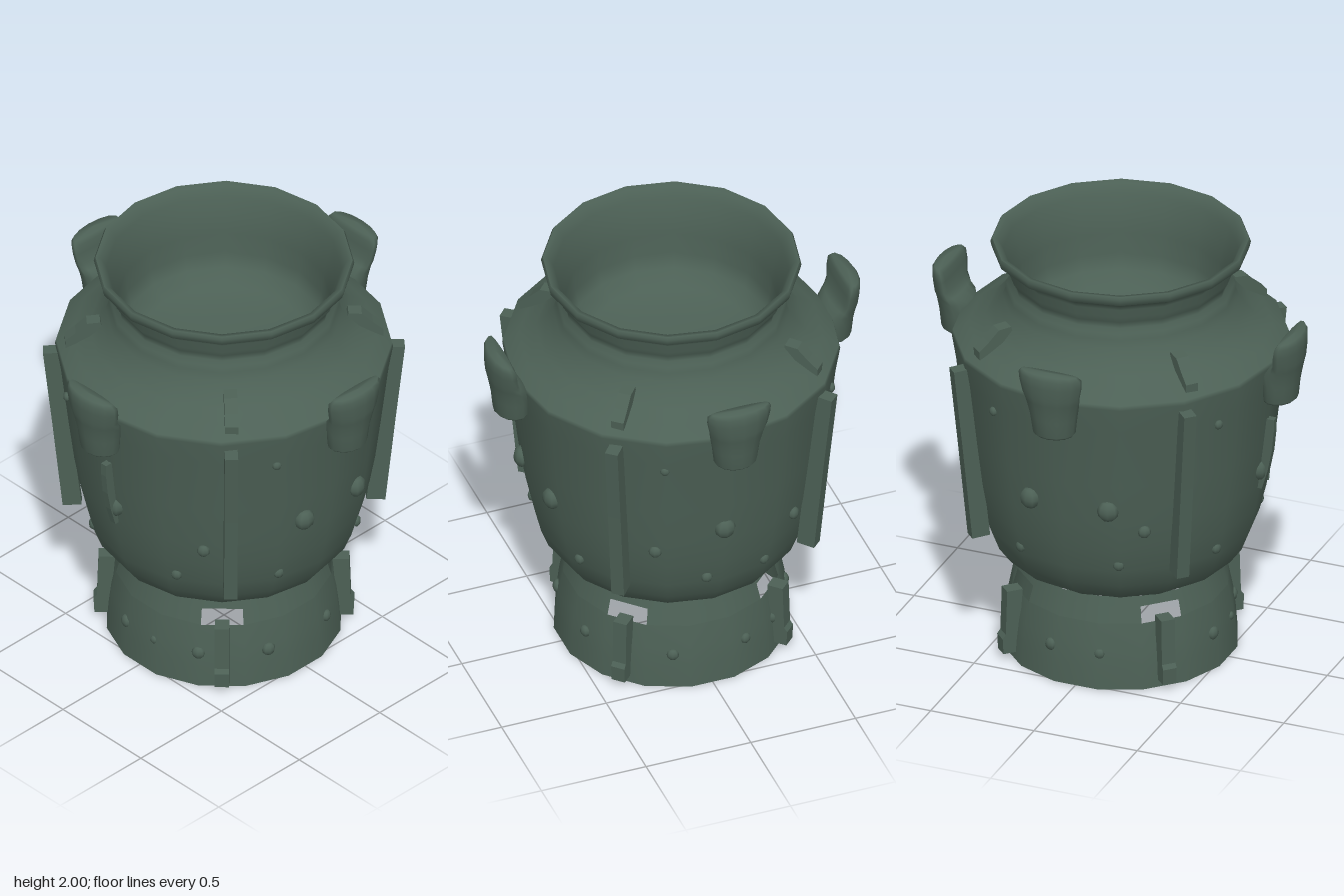
import * as THREE from 'three';

const bronze = new THREE.MeshStandardMaterial({ color: 0x4c6055, side: THREE.DoubleSide });
bronze.name = 'darkGreenBronze';
const RAD = Math.PI / 180;
const toPoints = (list) => list.map(([x, y]) => new THREE.Vector2(x, y));

// Outer wall from the underside up to the shoulder edge, as [radius, height]
const WALL = [[0, 0.42], [0.38, 0.41], [0.45, 0.425], [0.53, 0.475], [0.585, 0.55], [0.62, 0.64],
  [0.65, 0.76], [0.675, 0.9], [0.7, 1.1], [0.735, 1.4], [0.755, 1.52], [0.75, 1.54]];
// Shoulder, ribbed neck and flared rim
const NECK = [[0.68, 1.575], [0.605, 1.62], [0.56, 1.67], [0.53, 1.715], [0.515, 1.75], [0.51, 1.78],
  [0.49, 1.8], [0.493, 1.83], [0.515, 1.865], [0.51, 1.9], [0.53, 1.93], [0.555, 1.945], [0.575, 1.955],
  [0.582, 1.985], [0.574, 2]];
// Bowl inside, from the rim down to the middle
const BOWL = [[0.574, 2], [0.55, 1.995], [0.525, 1.95], [0.495, 1.87], [0.478, 1.78], [0.47, 1.68],
  [0.45, 1.61], [0.38, 1.555], [0.22, 1.515], [0, 1.505]];

function add(parent, name, geometry) {
  const mesh = new THREE.Mesh(geometry, bronze);
  mesh.name = name;
  parent.add(mesh);
  return mesh;
}

function lathe(parent, name, profile, sides = 16, start = 0, length = Math.PI * 2) {
  return add(parent, name, new THREE.LatheGeometry(toPoints(profile), sides, start, length));
}

// Radius of the wall at a height
function wallRadius(y) {
  const i = WALL.findIndex(([, top], k) => k > 1 && top >= y);
  const [r0, y0] = WALL[i - 1], [r1, y1] = WALL[i];
  return r0 + (r1 - r0) * (y - y0) / (y1 - y0);
}

// Radial fin: a (radius, height) outline given thickness and turned round the axis
function fin(parent, name, outline, width, phi) {
  const geo = new THREE.ExtrudeGeometry(new THREE.Shape(toPoints(outline)), { depth: width, bevelEnabled: false });
  geo.translate(0, 0, -width / 2);
  add(parent, name, geo).rotation.y = phi - Math.PI / 2;
}

// Flattened round stud on a surface of the given radius
function stud(parent, name, degrees, y, radius, size) {
  const phi = degrees * RAD;
  const mesh = add(parent, name, new THREE.SphereGeometry(size, 8, 6));
  mesh.scale.z = 0.7;
  mesh.position.set(Math.sin(phi) * radius, y, Math.cos(phi) * radius);
  mesh.rotation.y = phi;
}

// Upright lug lofted from lens-shaped sections: [y, halfWidth, back, edge, front]
function lugGeometry() {
  const sections = [
    [0, 0, 0.78, 0.78, 0.78], [0, 0.09, 0.7, 0.765, 0.842], [0.012, 0.1, 0.7, 0.765, 0.853],
    [0.09, 0.11, 0.7, 0.77, 0.86], [0.15, 0.122, 0.71, 0.78, 0.87], [0.18, 0.13, 0.755, 0.785, 0.876],
    [0.21, 0.137, 0.782, 0.795, 0.882], [0.27, 0.15, 0.79, 0.8, 0.886],
    [0.31, 0.152, 0.797, 0.807, 0.885], [0.33, 0.135, 0.807, 0.82, 0.872], [0.337, 0, 0.84, 0.84, 0.84]];
  const n = 14, pos = [], idx = [];
  for (const [y, w, back, edge, front] of sections) {
    for (let i = 0; i < n; i++) {
      const t = i / n * Math.PI * 2, c = Math.cos(t);
      pos.push(w * Math.sin(t), y, edge + c * (c > 0 ? front - edge : edge - back));
    }
  }
  for (let j = 0; j < sections.length - 1; j++) {
    for (let i = 0; i < n; i++) {
      const a = j * n + i, b = j * n + (i + 1) % n;
      idx.push(a, b, a + n, b, b + n, a + n);
    }
  }
  const geo = new THREE.BufferGeometry();
  geo.setAttribute('position', new THREE.Float32BufferAttribute(pos, 3));
  geo.setIndex(idx);
  geo.computeVertexNormals();
  return geo;
}

export function createModel() {
  const model = new THREE.Group();
  model.name = 'bronzeVessel';

  // Belly, neck and rim in one sweep, with the bowl inside
  lathe(model, 'body', [...WALL, ...NECK]);
  lathe(model, 'bowl', BOWL);

  // Thin hollow foot: lower ring, four wall pieces between the openings, top ring
  const half = 11.25 * RAD;
  lathe(model, 'footRing', [[0.532, 0], [0.524, 0.1], [0.512, 0.2], [0.49, 0.31]], 16, half);
  lathe(model, 'footTopRing', [[0.468, 0.385], [0.455, 0.43]], 16, half);
  for (let q = 0; q < 4; q++) {
    lathe(model, 'footWall', [[0.49, 0.31], [0.468, 0.385]], 3, 56.25 * RAD + q * Math.PI / 2, 67.5 * RAD);
  }

  // Upright lugs on four sides
  const lugShape = lugGeometry();
  [[0, 1.355, 0], [90, 1.383, 0.02], [180, 1.415, 0.015], [270, 1.388, 0]].forEach(([deg, y, shift]) => {
    const lug = new THREE.Group();
    lug.name = 'lug';
    add(lug, 'lugPlate', lugShape).position.set(shift, y, 0);
    lug.rotation.y = deg * RAD;
    model.add(lug);
  });

  // Long body flanges, bent shoulder flanges and foot flanges on the diagonals
  for (const [x, z] of [[-0.555, 0.565], [0.59, 0.525], [0.515, -0.61], [-0.55, -0.575]]) {
    fin(model, 'bodyFlange', [[0.635, 0.64], [0.72, 0.635], [0.767, 1.1], [0.808, 1.485], [0.73, 1.49]], 0.06, Math.atan2(x, z));
  }
  for (const [x, z] of [[-0.42, 0.49], [0.485, 0.425], [0.42, -0.49], [-0.485, -0.435]]) {
    fin(model, 'shoulderFlange', [[0.54, 1.64], [0.555, 1.69], [0.615, 1.685], [0.665, 1.635], [0.712, 1.595],
      [0.71, 1.55], [0.62, 1.56]], 0.06, Math.atan2(x, z));
  }
  for (let q = 0; q < 4; q++) {
    fin(model, 'footFlange', [[0.51, 0.035], [0.578, 0.035], [0.582, 0.11], [0.567, 0.13], [0.56, 0.345], [0.485, 0.345]],
      0.065, (45 + 90 * q) * RAD);
  }

  // Thin front ridge
  fin(model, 'frontRidge', [[0.665, 0.885], [0.69, 0.885], [0.718, 0.98], [0.738, 1.08], [0.748, 1.18], [0.748, 1.24],
    [0.71, 1.24], [0.69, 1.05]], 0.032, 0);

  // Studs on the belly: height, size, angles round the axis
  const rows = [
    [0.975, 0.05, [0, 78, 107, 180, 256, 288]],
    [0.86, 0.03, [38, -58, 153, 215]],
    [0.675, 0.026, [-24, 26, 69, -68, 118, 174, 201, 247]],
    [1.36, 0.022, [-30, 65, 157, 241]]];
  for (const [y, size, angles] of rows) {
    for (const deg of angles) stud(model, 'bellyStud', deg, y, wallRadius(y) - 0.006, size);
  }

  // Studs on the foot
  for (const [deg, size] of [[-78, 0.025], [-13, 0.032], [8, 0.02], [33, 0.032], [69, 0.032], [110, 0.028],
    [160, 0.028], [200, 0.026], [223, 0.03], [255, 0.03]]) {
    stud(model, 'footStud', deg, 0.168, 0.508, size);
  }
  return model;
}
